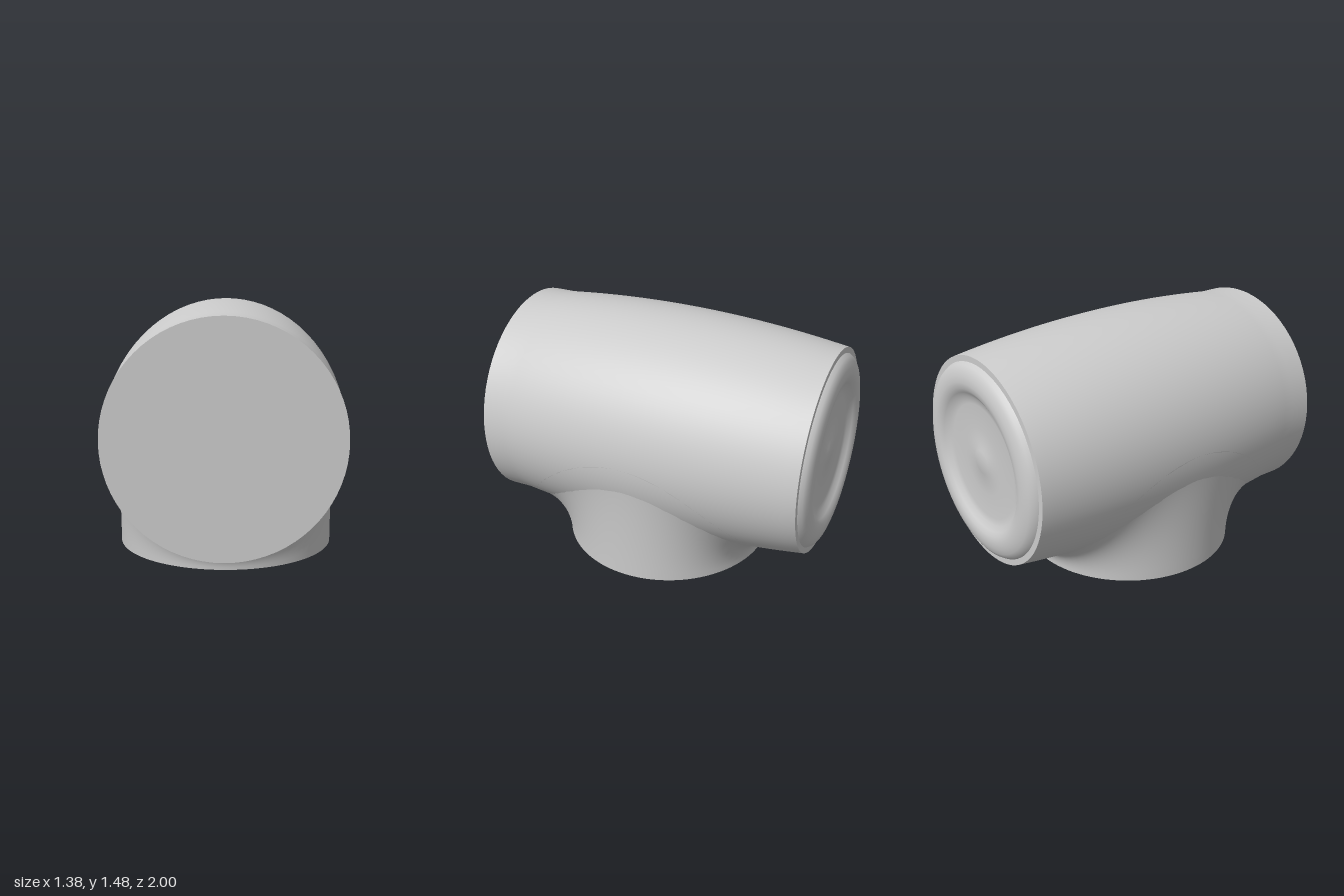
import * as THREE from 'three';
import { toCreasedNormals } from 'three/addons/utils/BufferGeometryUtils.js';

const AXIS_Y = 0.785;   // height of the barrel axis
const BASE_Z = 0.075;   // centre of the foot
const BASE_R = 0.648;

// Barrel radius along z: bulged in the middle, straight at the front collar
function barrelRadius(z) {
  if (z >= 0.87) return 0.65;
  return z > 0.1
    ? 0.69 - 0.04 * ((z - 0.1) / 0.77) ** 2
    : 0.69 - 0.075 * ((z - 0.1) / 1.05) ** 2;
}

// Barrel with flat front and a raised, dished ring on the back
function barrelGeometry() {
  const pts = [
    [0, -0.96], [0.07, -0.96], [0.09, -0.953], [0.2, -0.952], [0.34, -0.952], [0.38, -0.958],
    [0.41, -0.98], [0.435, -0.995], [0.47, -1], [0.505, -0.997], [0.54, -0.987],
    [0.565, -0.972], [0.58, -0.95],
  ].map(([r, z]) => new THREE.Vector2(r, z));
  for (let i = 0; i <= 26; i++) {
    const z = -0.95 + (1.82 * i) / 26;
    pts.push(new THREE.Vector2(barrelRadius(z), z));
  }
  pts.push(new THREE.Vector2(0.65, 1), new THREE.Vector2(0, 1));
  const g = new THREE.LatheGeometry(pts, 72);
  g.rotateX(Math.PI / 2);
  g.translate(0, AXIS_Y, 0);
  return toCreasedNormals(g, 0.7);
}

// Flared branch: each section curves from the foot circle up onto the barrel
function branchGeometry() {
  const around = 96, up = 14, pos = [], index = [];
  for (let i = 0; i <= around; i++) {
    const a = (i / around) * Math.PI * 2;
    const c = Math.cos(a), s = Math.sin(a);
    const foot = new THREE.Vector3(BASE_R * c, 0, BASE_Z + BASE_R * s);
    const rFoot = barrelRadius(foot.z);
    const bend = foot.clone();
    bend.y = AXIS_Y - Math.sqrt(Math.max(0, rFoot * rFoot - foot.x * foot.x));
    const z = BASE_Z + 0.83 * s, r = barrelRadius(z), phi = (c * Math.PI) / 2;
    const top = new THREE.Vector3(r * Math.sin(phi), AXIS_Y - r * Math.cos(phi), z);
    const curve = new THREE.QuadraticBezierCurve3(foot, bend, top);
    for (let j = 0; j <= up; j++) {
      const p = curve.getPoint(j / up);
      pos.push(p.x, p.y, p.z);
      if (i < around && j < up) {
        const k = i * (up + 1) + j, n = k + up + 1;
        index.push(k, k + 1, n, n, k + 1, n + 1);
      }
    }
  }
  const g = new THREE.BufferGeometry();
  g.setAttribute('position', new THREE.Float32BufferAttribute(pos, 3));
  g.setIndex(index);
  return toCreasedNormals(g, 0.7);
}

export function createModel() {
  const group = new THREE.Group();
  group.name = 'pipeTee';
  const material = new THREE.MeshStandardMaterial({ color: 0xcccccc });
  const add = (name, geometry) => {
    const mesh = new THREE.Mesh(geometry, material);
    mesh.name = name;
    group.add(mesh);
  };

  add('barrel', barrelGeometry());
  add('branch', branchGeometry());

  // Flat underside of the foot
  const foot = new THREE.CircleGeometry(BASE_R, 96);
  foot.rotateX(Math.PI / 2);
  foot.translate(0, 0, BASE_Z);
  add('footFace', foot);

  return group;
}
